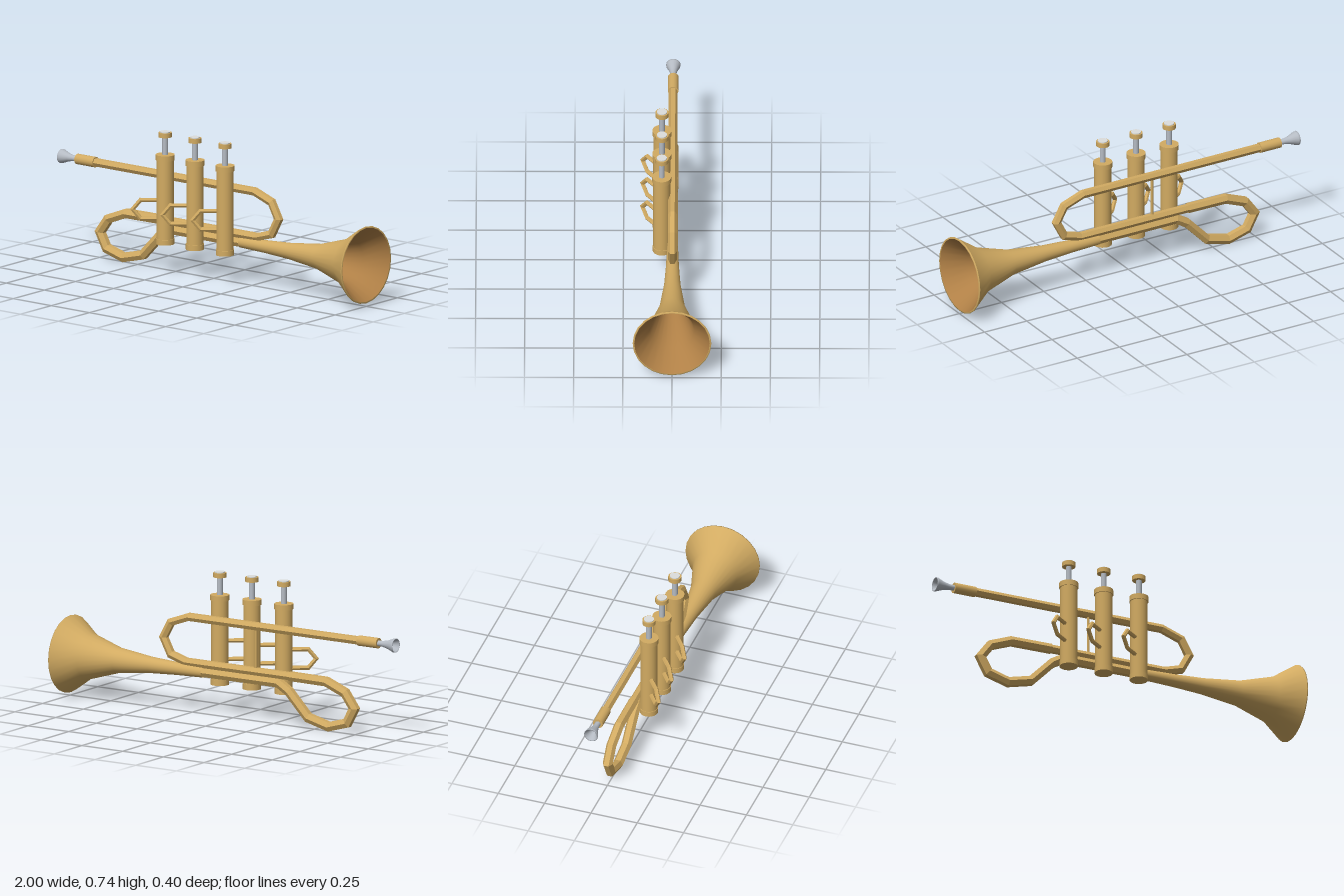
import * as THREE from 'three';

const brass = new THREE.MeshStandardMaterial({ color: 0xd2ab62, side: THREE.DoubleSide });
brass.name = 'brass';
const innerBrass = new THREE.MeshStandardMaterial({ color: 0xb08046, side: THREE.DoubleSide });
innerBrass.name = 'bell interior';
const silver = new THREE.MeshStandardMaterial({ color: 0xb6bcc4, side: THREE.DoubleSide });
silver.name = 'silver';
const pearl = new THREE.MeshStandardMaterial({ color: 0xdcdedc });
pearl.name = 'pearl';

function add(parent, name, geometry, material, x = 0, y = 0, z = 0) {
  const mesh = new THREE.Mesh(geometry, material);
  mesh.name = name;
  mesh.position.set(x, y, z);
  parent.add(mesh);
  return mesh;
}

// Mitred hexagonal pipe along a planar path; side is the normal of the path's plane
function pipe(path, radius, side, sides = 6) {
  const pts = path.map((p) => new THREE.Vector3(...p));
  const pos = [], index = [];
  pts.forEach((p, i) => {
    const a = p.clone().sub(pts[Math.max(i - 1, 0)]).normalize();
    const b = pts[Math.min(i + 1, pts.length - 1)].clone().sub(p).normalize();
    const dir = a.clone().add(b).normalize();
    const stretch = 1 / dir.dot(a.lengthSq() ? a : b);
    const up = new THREE.Vector3().crossVectors(side, dir).normalize();
    for (let k = 0; k < sides; k++) {
      const t = (k / sides) * Math.PI * 2;
      const v = p.clone().addScaledVector(side, Math.cos(t) * radius)
        .addScaledVector(up, Math.sin(t) * radius * stretch);
      pos.push(v.x, v.y, v.z);
      if (i > 0) {
        const n = (k + 1) % sides, r0 = (i - 1) * sides, r1 = i * sides;
        index.push(r0 + k, r0 + n, r1 + k, r0 + n, r1 + n, r1 + k);
      }
    }
  });
  const g = new THREE.BufferGeometry();
  g.setAttribute('position', new THREE.Float32BufferAttribute(pos, 3));
  g.setIndex(index);
  const flat = g.toNonIndexed();
  flat.computeVertexNormals();
  return flat;
}

// Turned part along x, from [radius, x] pairs
function turned(profile, sides) {
  return new THREE.LatheGeometry(profile.map(([r, x]) => new THREE.Vector2(r, x)), sides)
    .rotateZ(-Math.PI / 2);
}

const cyl = (r, h, sides = 20) => new THREE.CylinderGeometry(r, r, h, sides);

export function createModel() {
  const model = new THREE.Group();
  model.name = 'trumpet';
  const zAxis = new THREE.Vector3(0, 0, 1);

  // Main tubing: lead pipe with tuning loop, then rear loop into the bell
  add(model, 'leadPipe', pipe([
    [-0.79, 0.497, 0], [0.27, 0.497, 0], [0.38, 0.457, 0], [0.425, 0.375, 0],
    [0.38, 0.29, 0], [0.285, 0.262, 0], [-0.36, 0.262, 0],
  ], 0.0225, zAxis), brass);
  add(model, 'rearLoop', pipe([
    [-0.35, 0.262, 0], [-0.575, 0.26, 0], [-0.69, 0.215, 0], [-0.745, 0.14, 0],
    [-0.702, 0.06, 0], [-0.59, 0.028, 0], [-0.463, 0.06, 0], [-0.345, 0.182, 0],
    [-0.28, 0.22, 0], [0.2, 0.22, 0],
  ], 0.0265, zAxis), brass);

  // Flared bell: outside, rim and interior
  add(model, 'bell', turned([
    [0.028, 0.18], [0.033, 0.34], [0.042, 0.5], [0.066, 0.7], [0.12, 0.88], [0.2, 0.995],
  ], 24), brass, 0, 0.22);
  add(model, 'bellRim', turned([[0.2, 0.995], [0.2, 1], [0.192, 1]], 24), brass, 0, 0.22);
  add(model, 'bellInterior', turned([
    [0.192, 1], [0.113, 0.885], [0.06, 0.705], [0.037, 0.5], [0.028, 0.34], [0.026, 0.2],
  ], 24), innerBrass, 0, 0.22);

  // Mouthpiece and its receiver
  const receiver = add(model, 'mouthpieceReceiver', cyl(0.027, 0.12, 16), brass, -0.835, 0.497);
  receiver.rotation.z = Math.PI / 2;
  add(model, 'mouthpiece', turned([
    [0.005, -0.93], [0.02, -0.97], [0.033, -1], [0.037, -1], [0.036, -0.99],
    [0.021, -0.95], [0.015, -0.92], [0.015, -0.88],
  ], 16), silver, 0, 0.497);

  // Brace between lead pipe and lower pipe
  add(model, 'brace', cyl(0.008, 0.235, 8), brass, -0.14, 0.38, 0);

  // Three valves with pistons, finger buttons and side slides
  [-0.275, -0.079, 0.118].forEach((x, i) => {
    const valve = new THREE.Group();
    valve.name = `valve${i + 1}`;
    valve.position.set(x, 0, 0.055);
    model.add(valve);
    add(valve, 'casing', cyl(0.044, 0.44), brass, 0, 0.38);
    add(valve, 'bottomCap', cyl(0.047, 0.028), brass, 0, 0.169);
    add(valve, 'topCap', cyl(0.049, 0.028), brass, 0, 0.607);
    add(valve, 'stem', cyl(0.015, 0.1, 12), silver, 0, 0.665);
    add(valve, 'button', cyl(0.034, 0.024), brass, 0, 0.724);
    add(valve, 'buttonTop', cyl(0.026, 0.008), pearl, 0, 0.737);

    const out = new THREE.Vector3(-0.8, 0, 0.6);
    const at = (d, y) => [out.x * d, y, out.z * d];
    const side = new THREE.Vector3(0.6, 0, 0.8);
    add(valve, 'slide', pipe([
      at(0.03, 0.382), at(0.125, 0.382), at(0.165, 0.334), at(0.125, 0.286), at(0.03, 0.286),
    ], 0.0115, side), brass);
  });

  return model;
}
